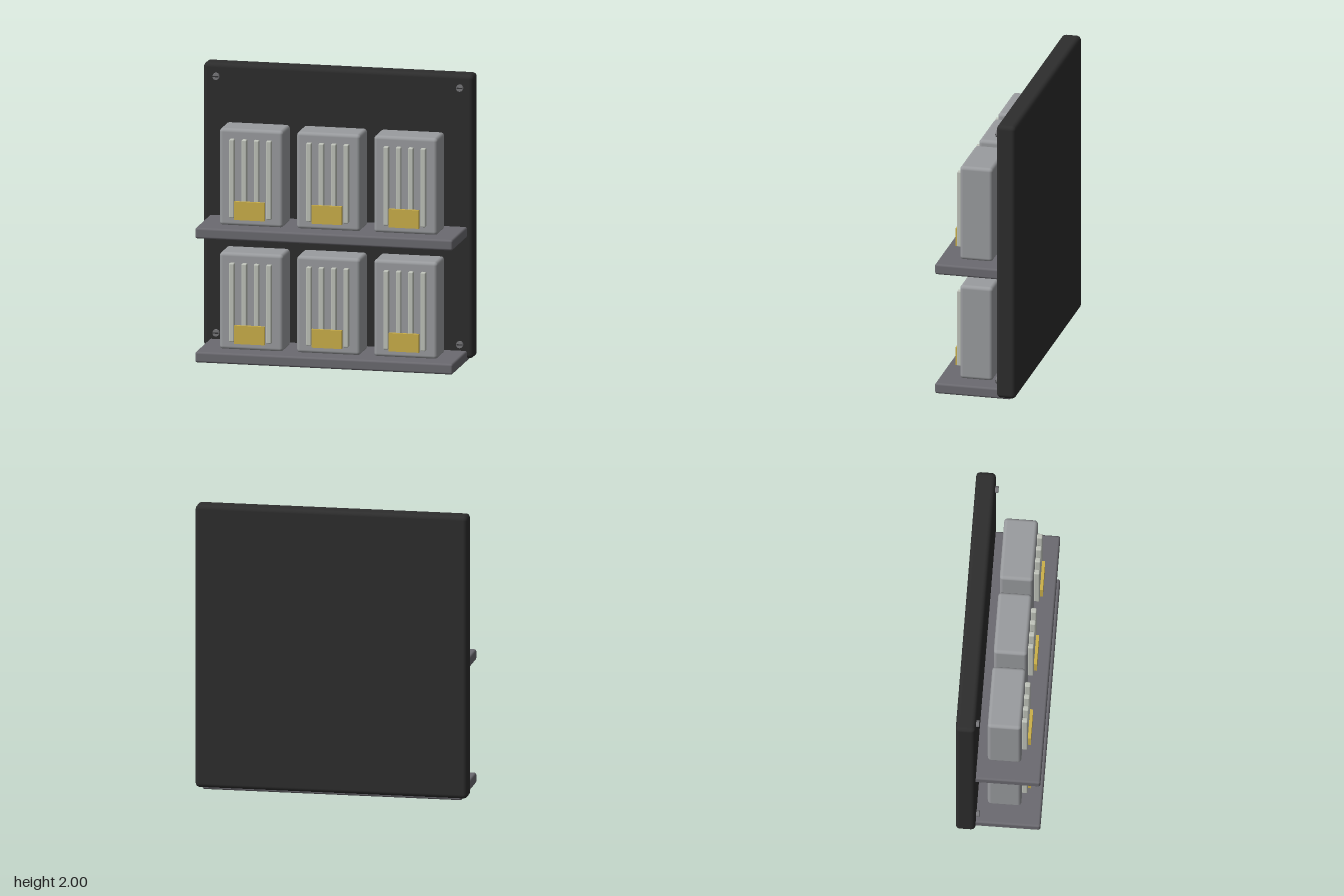
import * as THREE from 'three';
import { RoundedBoxGeometry } from 'three/addons/geometries/RoundedBoxGeometry.js';

const paint = (name, color) => {
  const m = new THREE.MeshStandardMaterial({ color });
  m.name = name;
  return m;
};

export function createModel() {
  const model = new THREE.Group();
  model.name = 'wallRack';

  const panelBlack = paint('panelBlack', 0x2d2d2d);
  const shelfGrey = paint('shelfGrey', 0x6b6a70);
  const caseGrey = paint('caseGrey', 0x9a9c9f);
  const finGrey = paint('finGrey', 0xbfc3ba);
  const labelGold = paint('labelGold', 0xcbb04a);
  const screwGrey = paint('screwGrey', 0x77777a);
  const slotDark = paint('slotDark', 0x333335);

  // Box given by its extents; a radius rounds the edges
  const box = (parent, name, mat, [x0, x1], [y0, y1], [z0, z1], r = 0) => {
    const size = [x1 - x0, y1 - y0, z1 - z0];
    const geo = r ? new RoundedBoxGeometry(...size, 3, r) : new THREE.BoxGeometry(...size);
    const mesh = new THREE.Mesh(geo, mat);
    mesh.name = name;
    mesh.position.set((x0 + x1) / 2, (y0 + y1) / 2, (z0 + z1) / 2);
    parent.add(mesh);
    return mesh;
  };

  // Back panel
  box(model, 'backPanel', panelBlack, [-0.945, 0.945], [0.02, 2], [-0.287, -0.152], 0.03);

  // Ribbed unit standing on a shelf, with its base at y = 0
  const makeUnit = () => {
    const unit = new THREE.Group();
    unit.name = 'ribbedUnit';
    box(unit, 'unitCase', caseGrey, [-0.223, 0.223], [-0.005, 0.673], [-0.082, 0.149], 0.025);
    for (const x of [-0.13, -0.043, 0.043, 0.13]) {
      box(unit, 'fin', finGrey, [x - 0.018, x + 0.018], [0.057, 0.606], [0.147, 0.186], 0.008);
    }
    box(unit, 'nameplate', labelGold, [-0.106, 0.106], [0.05, 0.178], [0.185, 0.206]);
    return unit;
  };

  // Two shelves, three units on each
  for (const y of [0.005, 0.87]) {
    box(model, 'shelf', shelfGrey, [-0.902, 0.902], [y - 0.005, y + 0.07], [-0.245, 0.29], 0.015);
    for (const x of [-0.54, 0, 0.54]) {
      const unit = makeUnit();
      unit.position.set(x, y + 0.07, 0);
      model.add(unit);
    }
  }

  // Corner screws with slotted heads
  for (const x of [-0.853, 0.853]) {
    for (const y of [0.12, 1.91]) {
      const screw = new THREE.Group();
      screw.name = 'screw';
      const head = new THREE.Mesh(new THREE.CylinderGeometry(0.024, 0.024, 0.022, 20), screwGrey);
      head.name = 'screwHead';
      head.rotation.x = Math.PI / 2;
      screw.add(head);
      box(screw, 'screwSlot', slotDark, [-0.021, 0.021], [-0.004, 0.004], [0.008, 0.014]);
      screw.position.set(x, y, -0.143);
      model.add(screw);
    }
  }

  return model;
}
